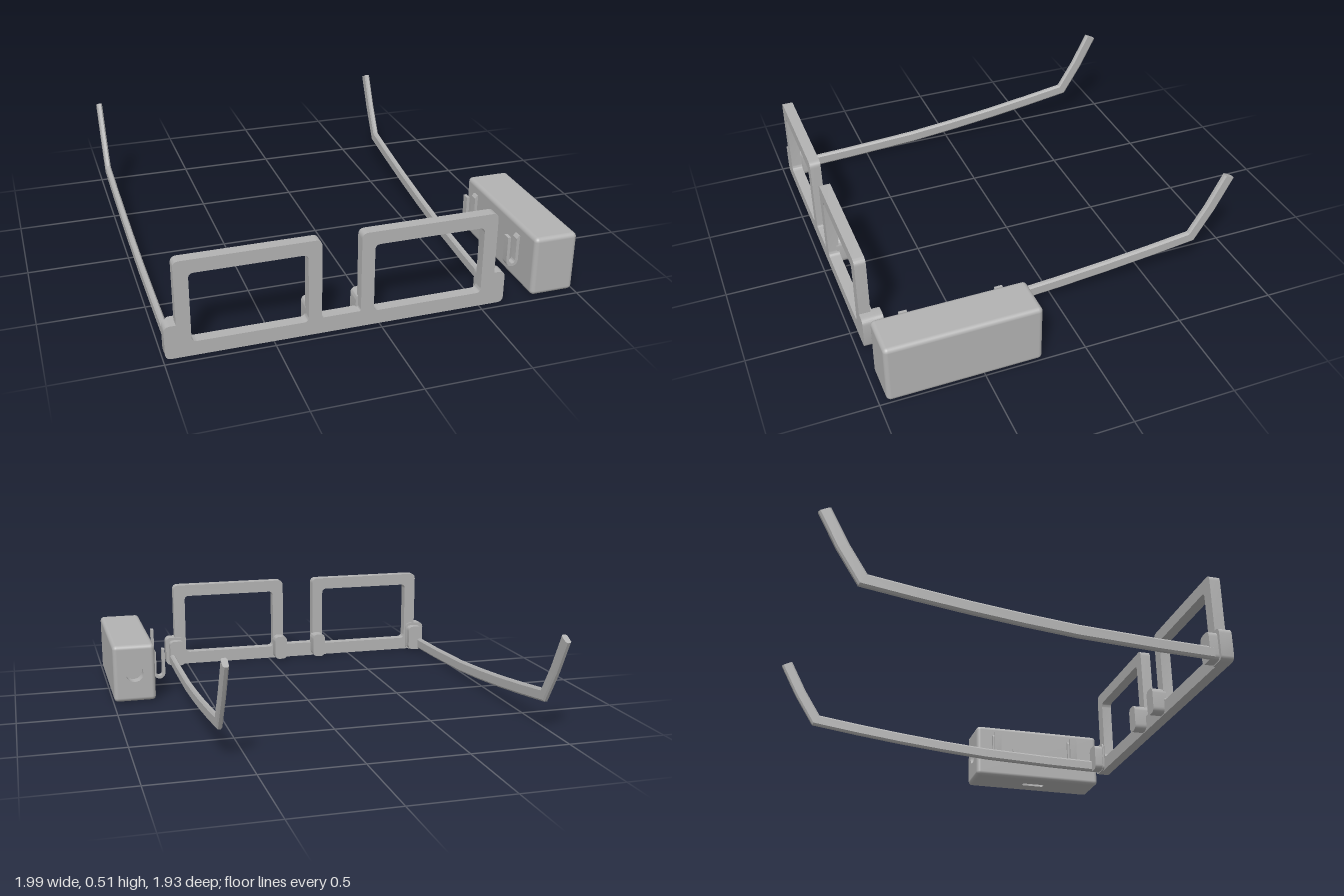
import * as THREE from 'three';
import { mergeGeometries, toCreasedNormals } from 'three/addons/utils/BufferGeometryUtils.js';
import { RoundedBoxGeometry } from 'three/addons/geometries/RoundedBoxGeometry.js';

const grey = new THREE.MeshStandardMaterial({ color: 0xb2b2b2 });
grey.name = 'plain grey';

function add(parent, name, geometry, x = 0, y = 0, z = 0) {
  const mesh = new THREE.Mesh(geometry, grey);
  mesh.name = name;
  mesh.position.set(x, y, z);
  parent.add(mesh);
  return mesh;
}

// Polygon of [x, y, radius] corners with rounded corners
function rounded(points, target = new THREE.Shape()) {
  const n = points.length;
  points.forEach(([x, y, r], i) => {
    const towards = ([px, py]) => {
      const d = Math.hypot(px - x, py - y);
      return [x + ((px - x) * r) / d, y + ((py - y) * r) / d];
    };
    const a = towards(points[(i + n - 1) % n]);
    const b = towards(points[(i + 1) % n]);
    if (i === 0) target.moveTo(...a); else target.lineTo(...a);
    if (r > 0) target.quadraticCurveTo(x, y, ...b);
  });
  target.closePath();
  return target;
}

const roundRect = (x0, x1, y0, y1, r) => rounded([[x0, y0, r], [x1, y0, r], [x1, y1, r], [x0, y1, r]]);

const extrude = (shape, depth) => toCreasedNormals(
  new THREE.ExtrudeGeometry(shape, { depth, bevelEnabled: false, curveSegments: 6 }), 0.6);

// Front plate: low bar, two rims and the end lugs in one outline
function frontPlate() {
  const half = [[0.8075, 0, 0.03], [0.8075, 0.165, 0.03], [0.7525, 0.165, 0],
    [0.7525, 0.475, 0.03], [0.0925, 0.475, 0.03], [0.0925, 0.08, 0.01]];
  const other = half.map(([x, y, r]) => [-x, y, r]).reverse();
  const shape = rounded([...half, ...other]);
  for (const s of [-1, 1]) {
    const xs = [s * 0.155, s * 0.6875].sort((a, b) => a - b);
    shape.holes.push(roundRect(xs[0], xs[1], 0.07, 0.41, 0.025));
  }
  return extrude(shape, 0.055);
}

// Temple: chamfered section swept along a side profile with mitred bends
function temple(s) {
  const path = [[0.88, 0.04], [0.6, 0.046], [0.22, 0.061], [-0.03, 0.082], [-0.28, 0.108],
    [-0.52, 0.138], [-0.755, 0.171], [-0.85, 0.325], [-0.937, 0.495]]
    .map(([z, y]) => new THREE.Vector2(z, y));
  const section = [[1, -0.7], [1, 0.7], [0.5, 1], [-0.5, 1], [-1, 0.7], [-1, -0.7], [-0.5, -1], [0.5, -1]];
  const n = section.length, pos = [], index = [];
  path.forEach((p, i) => {
    const before = i > 0 ? p.clone().sub(path[i - 1]).normalize() : null;
    const after = i < path.length - 1 ? path[i + 1].clone().sub(p).normalize() : null;
    const t = (before || after).clone().add(after || before).normalize();
    const mitre = 1 / t.dot(before || after);
    const along = Math.min(1, (0.88 - p.x) / 1.6);
    const cx = s * (0.775 + 0.027 * along);
    for (const [u, v] of section) {
      const h = v * 0.031 * mitre;
      pos.push(cx + u * 0.0145, p.y - t.x * h, p.x + t.y * h);
    }
    if (i > 0) for (let j = 0; j < n; j++) {
      const a = (i - 1) * n + j, b = (i - 1) * n + (j + 1) % n;
      index.push(a, a + n, b, b, a + n, b + n);
    }
  });
  const last = (path.length - 1) * n;
  for (let j = 1; j < n - 1; j++) index.push(0, j, j + 1, last, last + j + 1, last + j);
  const g = new THREE.BufferGeometry();
  g.setAttribute('position', new THREE.Float32BufferAttribute(pos, 3));
  g.setIndex(index);
  return toCreasedNormals(g, 0.3);
}

// Rounded case with its flat rear and bottom faces left out
function caseShell(w, h, d, r) {
  const box = new RoundedBoxGeometry(w, h, d, 4, r);
  const g = box.index ? box.toNonIndexed() : box;
  const p = g.attributes.position, nrm = g.attributes.normal;
  const pos = [], nor = [];
  for (let i = 0; i < p.count; i += 3) {
    const ids = [i, i + 1, i + 2];
    if (ids.every(k => p.getZ(k) < -d / 2 + 1e-4) || ids.every(k => p.getY(k) < -h / 2 + 1e-4)) continue;
    for (const k of ids) {
      pos.push(p.getX(k), p.getY(k), p.getZ(k));
      nor.push(nrm.getX(k), nrm.getY(k), nrm.getZ(k));
    }
  }
  const out = new THREE.BufferGeometry();
  out.setAttribute('position', new THREE.Float32BufferAttribute(pos, 3));
  out.setAttribute('normal', new THREE.Float32BufferAttribute(nor, 3));
  return out;
}

// Flat panel with a recessed opening, facing +z at z = 0
function recessedPanel(w, h, hole, depth) {
  const shape = roundRect(-w / 2, w / 2, -h / 2, h / 2, 0);
  shape.holes.push(hole);
  const plate = extrude(shape, depth);
  const floor = new THREE.ShapeGeometry(hole, 6).toNonIndexed();
  return mergeGeometries([plate, floor]).translate(0, 0, -depth);
}

// Spring clip: a U strip with an upper foot that meets the case
function clip() {
  const s = new THREE.Shape();
  s.moveTo(0.711, 0.25);
  s.lineTo(0.711, 0.121);
  s.absarc(0.742, 0.121, 0.031, Math.PI, Math.PI * 2, false);
  s.lineTo(0.773, 0.225);
  s.lineTo(0.78, 0.235);
  s.lineTo(0.78, 0.25);
  s.lineTo(0.768, 0.25);
  s.lineTo(0.758, 0.237);
  s.lineTo(0.758, 0.121);
  s.absarc(0.742, 0.121, 0.016, 0, Math.PI, true);
  s.lineTo(0.726, 0.25);
  s.closePath();
  return extrude(s, 0.04);
}

export function createModel() {
  const model = new THREE.Group();
  model.name = 'spectaclesWithClipOnCase';

  const glasses = new THREE.Group();
  glasses.name = 'spectacles';
  glasses.position.x = -0.1825;
  model.add(glasses);
  add(glasses, 'frontFrame', frontPlate(), 0, 0, 0.908);

  for (const s of [-1, 1]) {
    const side = s > 0 ? 'left' : 'right';
    // Hinge blocks and nose pads behind the frame
    add(glasses, side + 'EndLug', extrude(roundRect(-0.055, 0.055, 0, 0.165, 0.03), 0.03), s * 0.7525, 0, 0.899);
    add(glasses, side + 'Hinge', extrude(roundRect(-0.043, 0.043, 0.005, 0.15, 0.028), 0.055), s * 0.746, 0, 0.855);
    add(glasses, side + 'NosePad', extrude(roundRect(-0.037, 0.037, 0.005, 0.142, 0.03), 0.075), s * 0.119, 0, 0.846);
    add(glasses, side + 'Temple', temple(s));
  }

  // Clip-on case
  const w = 0.22, h = 0.305, d = 0.747, r = 0.022;
  const box = new THREE.Group();
  box.name = 'clipOnCase';
  model.add(box);
  const cx = 0.885, cy = h / 2, cz = 0.589;
  add(box, 'caseShell', caseShell(w, h, d, r), cx, cy, cz);

  const port = new THREE.Shape().absarc(0, 0, 0.047, 0, Math.PI * 2, false);
  const rear = recessedPanel(w - 2 * r, h - 2 * r, port, 0.06).rotateY(Math.PI);
  add(box, 'rearPort', rear, cx, cy, cz - d / 2);

  const slot = roundRect(-0.016, 0.016, -0.065, 0.065, 0.012);
  const bottom = recessedPanel(w - 2 * r, d - 2 * r, slot, 0.02).rotateX(Math.PI / 2);
  add(box, 'bottomSlot', bottom, cx, 0, cz);

  for (const z of [0.307, 0.773]) add(box, 'clip', clip(), 0, 0, z);
  const button = new THREE.CylinderGeometry(0.02, 0.02, 0.008, 20).rotateZ(Math.PI / 2);
  add(box, 'sideButton', button, cx - w / 2 - 0.002, 0.17, 0.45);

  return model;
}
